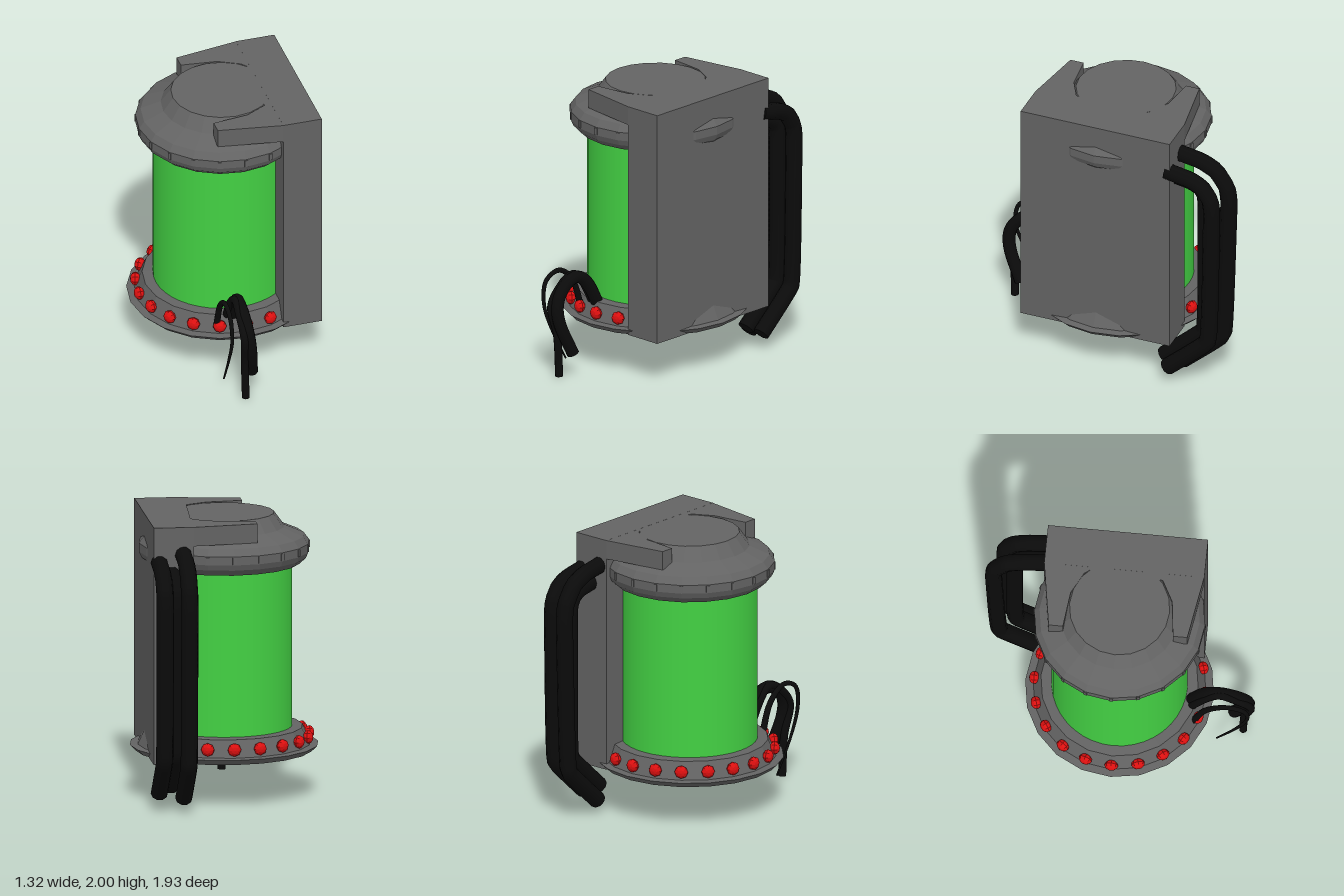
import * as THREE from 'three';

const material = (name, color, extra = {}) => {
  const m = new THREE.MeshStandardMaterial({ color, ...extra });
  m.name = name;
  return m;
};

export function createModel() {
  const model = new THREE.Group();
  const grey = material('steel grey', 0x636363, { flatShading: true });
  const green = material('glowing green', 0x43d043);
  const red = material('lamp red', 0xdd1010, { flatShading: true });
  const black = material('hose black', 0x0b0b0b);
  const CZ = 0.012; // centre of the tank in z

  const add = (name, geometry, mat, parent = model) => {
    const mesh = new THREE.Mesh(geometry, mat);
    mesh.name = name;
    parent.add(mesh);
    return mesh;
  };
  const lathe = (name, pts, mat, sides = 20) => {
    const g = new THREE.LatheGeometry(pts.map(p => new THREE.Vector2(...p)), sides);
    return add(name, g.translate(0, 0, CZ), mat);
  };

  // Base plate with its sloping collar
  lathe('base', [[0, 0.32], [0.62, 0.32], [0.66, 0.36], [0.605, 0.365],
    [0.55, 0.485], [0.47, 0.49]], grey);

  // Glass tank
  lathe('tank', [[0.475, 0.47], [0.475, 1.66]], green, 40);

  // Lid: rim, band, shoulder and raised cap
  lathe('lid', [[0.46, 1.645], [0.53, 1.645], [0.58, 1.69], [0.597, 1.73], [0.597, 1.79],
    [0.56, 1.84], [0.42, 1.90], [0.35, 1.997], [0, 1.997]], grey);

  // Lamps around the collar and studs around the lid band
  const lamps = new THREE.Group();
  lamps.name = 'lamps';
  const studs = new THREE.Group();
  studs.name = 'lidStuds';
  model.add(lamps, studs);
  for (let i = 0; i < 20; i++) {
    const a = (i / 20) * Math.PI * 2;
    const x = Math.sin(a), z = Math.cos(a);
    if (x > 0.5) continue; // covered by the housing
    const lamp = add('lamp', new THREE.SphereGeometry(0.048, 8, 6).rotateX(Math.PI / 2), red, lamps);
    lamp.scale.z = 0.75;
    lamp.position.set(x * 0.597, 0.422, z * 0.597 + CZ);
    lamp.rotation.y = a;
    const stud = add('lidStud', new THREE.BoxGeometry(0.025, 0.05, 0.02), grey, studs);
    stud.position.set(x * 0.592, 1.76, z * 0.592 + CZ);
    stud.rotation.y = a;
  }

  // Side housing
  add('housing', new THREE.BoxGeometry(0.28, 1.68, 1.12).translate(0.42, 1.16, 0.017), grey);

  // Clamp with two arms gripping the cap
  const half = [[0.32, 0.1], [0.3, 0.18], [0.23, 0.275], [0.08, 0.355], [-0.175, 0.385],
    [-0.175, 0.485], [0.285, 0.56]];
  const outline = [...half, ...half.map(([x, z]) => [x, -z]).reverse()];
  const clamp = new THREE.ExtrudeGeometry(
    new THREE.Shape(outline.map(p => new THREE.Vector2(...p))),
    { depth: 0.135, bevelEnabled: false });
  add('clamp', clamp.rotateX(Math.PI / 2).translate(0, 1.9995, 0.017), grey);

  // Hose along a path, optionally tapering, with closed ends
  const hose = (name, pts, radius, tip = 1, tension = 0.5) => {
    const group = new THREE.Group();
    group.name = name;
    model.add(group);
    const path = new THREE.CatmullRomCurve3(
      pts.map(p => new THREE.Vector3(...p)), false, 'catmullrom', tension);
    const steps = 48, sides = 10;
    const g = new THREE.TubeGeometry(path, steps, radius, sides);
    const pos = g.attributes.position, v = new THREE.Vector3();
    for (let i = 0; i <= steps; i++) {
      const c = path.getPointAt(i / steps);
      for (let j = 0; j <= sides; j++) {
        const k = i * (sides + 1) + j;
        v.fromBufferAttribute(pos, k).sub(c)
          .multiplyScalar(1 + (tip - 1) * i / steps).add(c);
        pos.setXYZ(k, v.x, v.y, v.z);
      }
    }
    add('hoseBody', g, black, group);
    for (const t of [0, 1]) {
      const cap = add('hoseEnd', new THREE.CircleGeometry(radius * (t ? tip : 1), sides), black, group);
      const dir = path.getTangentAt(t).multiplyScalar(t ? 1 : -1);
      cap.position.copy(path.getPointAt(t));
      cap.quaternion.setFromUnitVectors(new THREE.Vector3(0, 0, 1), dir);
    }
  };

  // Three back hoses, nested from an outer to an inner path (z, y)
  const outer = [[-0.5, 1.81], [-0.70, 1.775], [-0.81, 1.72], [-0.89, 1.6],
    [-0.905, 1.48], [-0.885, 0.8], [-0.86, 0.37], [-0.555, 0.085]];
  const inner = [[-0.5, 1.67], [-0.66, 1.64], [-0.72, 1.61], [-0.755, 1.56],
    [-0.765, 1.48], [-0.765, 0.78], [-0.75, 0.43], [-0.45, 0.15]];
  [[0.352, 0], [0.518, 0.45], [0.43, 1]].forEach(([x, t], i) => {
    const pts = outer.map(([z, y], k) =>
      [x, y + (inner[k][1] - y) * t, z + (inner[k][0] - z) * t]);
    hose('backHose' + (i + 1), pts, 0.06, 1, 0.12);
  });

  // Loose front hoses
  hose('frontThickHose', [[-0.07, 0.42, 0.5], [-0.08, 0.61, 0.6], [-0.09, 0.69, 0.7],
    [-0.09, 0.66, 0.82], [-0.08, 0.55, 0.91], [-0.06, 0.4, 0.91], [-0.025, 0.17, 0.815]], 0.045);
  hose('frontThinHose', [[-0.12, 0.42, 0.5], [-0.12, 0.63, 0.62], [-0.115, 0.71, 0.72],
    [-0.12, 0.66, 0.83], [-0.115, 0.52, 0.94], [-0.1, 0.3, 0.895], [-0.09, 0.005, 0.885]], 0.028);
  hose('frontTaperedHose', [[-0.2, 0.4, 0.55], [-0.2, 0.6, 0.62], [-0.205, 0.71, 0.72],
    [-0.205, 0.725, 0.82], [-0.205, 0.66, 0.91], [-0.2, 0.5, 0.92], [-0.2, 0.3, 0.84],
    [-0.195, 0.07, 0.71]], 0.024, 0.25);

  return model;
}
